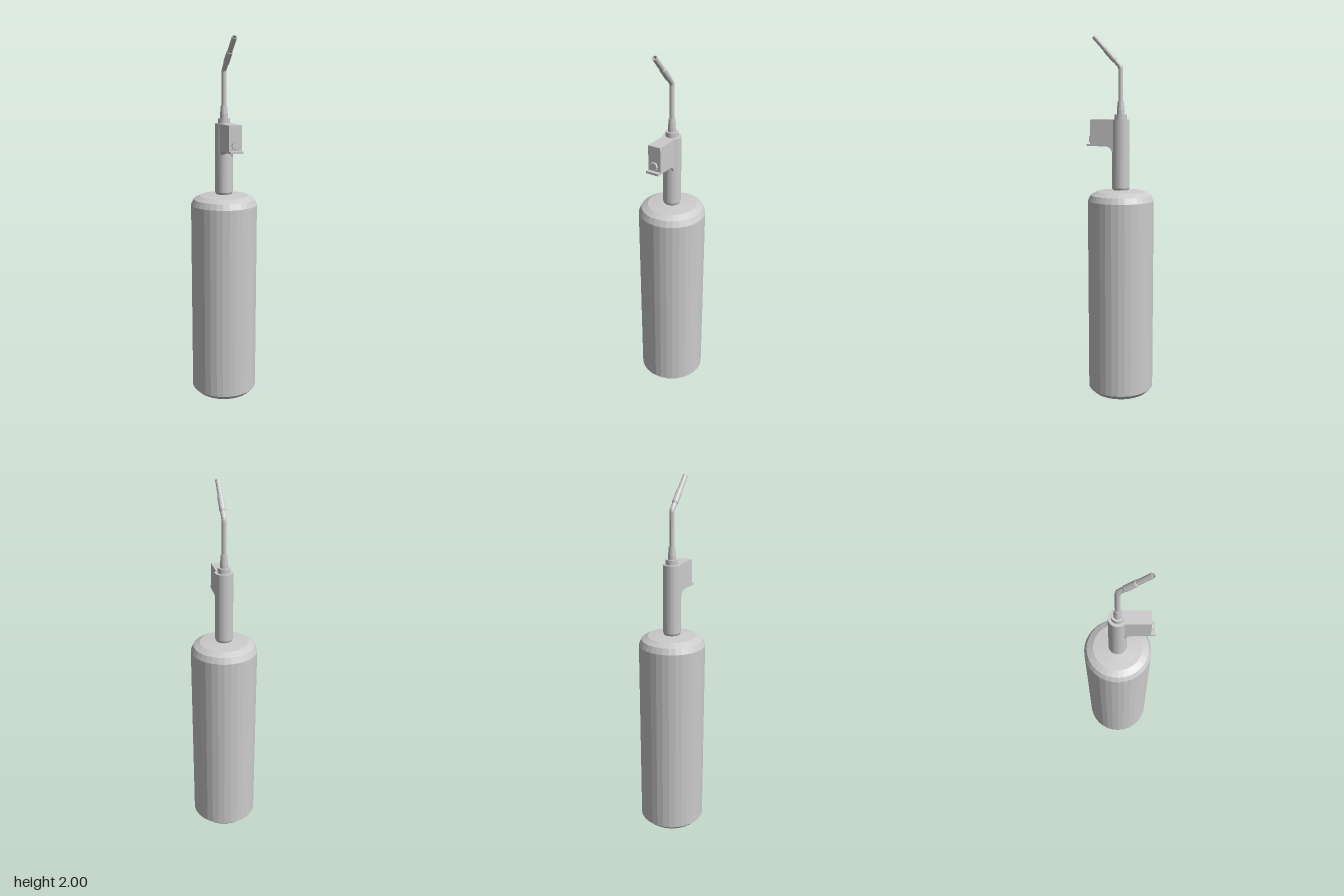
import * as THREE from 'three';

export function createModel() {
  const root = new THREE.Group();
  root.name = 'gasTorch';
  const mat = new THREE.MeshStandardMaterial({ color: 0xcccccc, flatShading: true });
  const hollow = new THREE.MeshStandardMaterial({ color: 0xcccccc, flatShading: true, side: THREE.DoubleSide });
  const AXIS_Z = -0.003;

  function add(name, geometry, parent = root, material = mat) {
    const mesh = new THREE.Mesh(geometry, material);
    mesh.name = name;
    parent.add(mesh);
    return mesh;
  }
  // Turned part from [radius, height] pairs, listed bottom to top
  function turned(name, profile, sides, parent, material) {
    const points = profile.map(([r, y]) => new THREE.Vector2(r, y));
    return add(name, new THREE.LatheGeometry(points, sides), parent, material);
  }

  // Everything on the vertical axis
  const axis = new THREE.Group();
  axis.name = 'verticalParts';
  axis.position.z = AXIS_Z;
  root.add(axis);

  turned('gasCylinder', [
    [0, 0], [0.157, 0], [0.183, 0.026], [0.183, 1.1],
    [0.168, 1.132], [0.133, 1.151], [0.04, 1.16], [0, 1.16],
  ], 32, axis);
  turned('neck', [[0.038, 1.15], [0.038, 1.175]], 24, axis);
  turned('valveBody', [
    [0, 1.158], [0.043, 1.158], [0.049, 1.172], [0.049, 1.546], [0, 1.546],
  ], 32, axis);
  turned('collar', [[0.033, 1.54], [0.033, 1.573], [0, 1.573]], 24, axis);
  turned('nozzleSocket', [
    [0.021, 1.57], [0.021, 1.595], [0.017, 1.641], [0, 1.641],
  ], 20, axis);

  // Trigger housing: side outline in (z, y), extruded across x
  const W = 0.073;
  const side = new THREE.Shape();
  side.moveTo(0, 1.546);
  side.lineTo(0, 1.37);
  side.lineTo(0.038, 1.37);
  side.quadraticCurveTo(0.042, 1.397, 0.078, 1.4);
  side.lineTo(0.184, 1.4);
  side.lineTo(0.184, 1.412);
  side.lineTo(0.162, 1.412);
  side.lineTo(0.162, 1.546);
  side.closePath();
  const housing = new THREE.ExtrudeGeometry(side, { depth: W, bevelEnabled: false, curveSegments: 6 });
  housing.rotateY(-Math.PI / 2);
  housing.translate(W / 2, 0, 0);
  add('triggerHousing', housing);

  // Control knob with grip ribs, above the front ledge
  const knob = new THREE.Group();
  knob.name = 'controlKnob';
  knob.position.set(0, 1.44, 0.167);
  root.add(knob);
  add('knobDisc', new THREE.CylinderGeometry(0.019, 0.019, 0.014, 16).rotateX(Math.PI / 2), knob);
  for (let i = 0; i < 8; i++) {
    const a = (i / 8) * Math.PI * 2;
    const rib = add('knobRib', new THREE.BoxGeometry(0.007, 0.007, 0.014), knob);
    rib.position.set(Math.cos(a) * 0.0185, Math.sin(a) * 0.0185, 0);
    rib.rotation.z = a;
  }

  // Bent burner tube
  const bend = new THREE.Vector3(0, 1.826, AXIS_Z);
  const dir = new THREE.Vector3(0, 0.735, 0.678).normalize();
  const along = (d) => bend.clone().addScaledVector(dir, d);
  const path = new THREE.CurvePath();
  const start = bend.clone().setY(1.63);
  const bendIn = bend.clone().setY(1.812);
  path.add(new THREE.LineCurve3(start, bendIn));
  path.add(new THREE.QuadraticBezierCurve3(bendIn, bend, along(0.016)));
  path.add(new THREE.LineCurve3(along(0.016), along(0.06)));
  add('burnerTube', new THREE.TubeGeometry(path, 60, 0.0135, 16));

  // Angled burner head: sleeve and open tip
  const head = new THREE.Group();
  head.name = 'burnerHead';
  head.position.copy(bend);
  head.quaternion.setFromUnitVectors(new THREE.Vector3(0, 1, 0), dir);
  root.add(head);
  turned('sleeve', [
    [0.0125, 0.042], [0.0165, 0.05], [0.0165, 0.122], [0.0125, 0.128],
  ], 16, head);
  turned('flameTip', [
    [0.0135, 0.12], [0.0135, 0.221], [0.0105, 0.221], [0.0105, 0.18], [0, 0.18],
  ], 16, head, hollow);

  return root;
}
